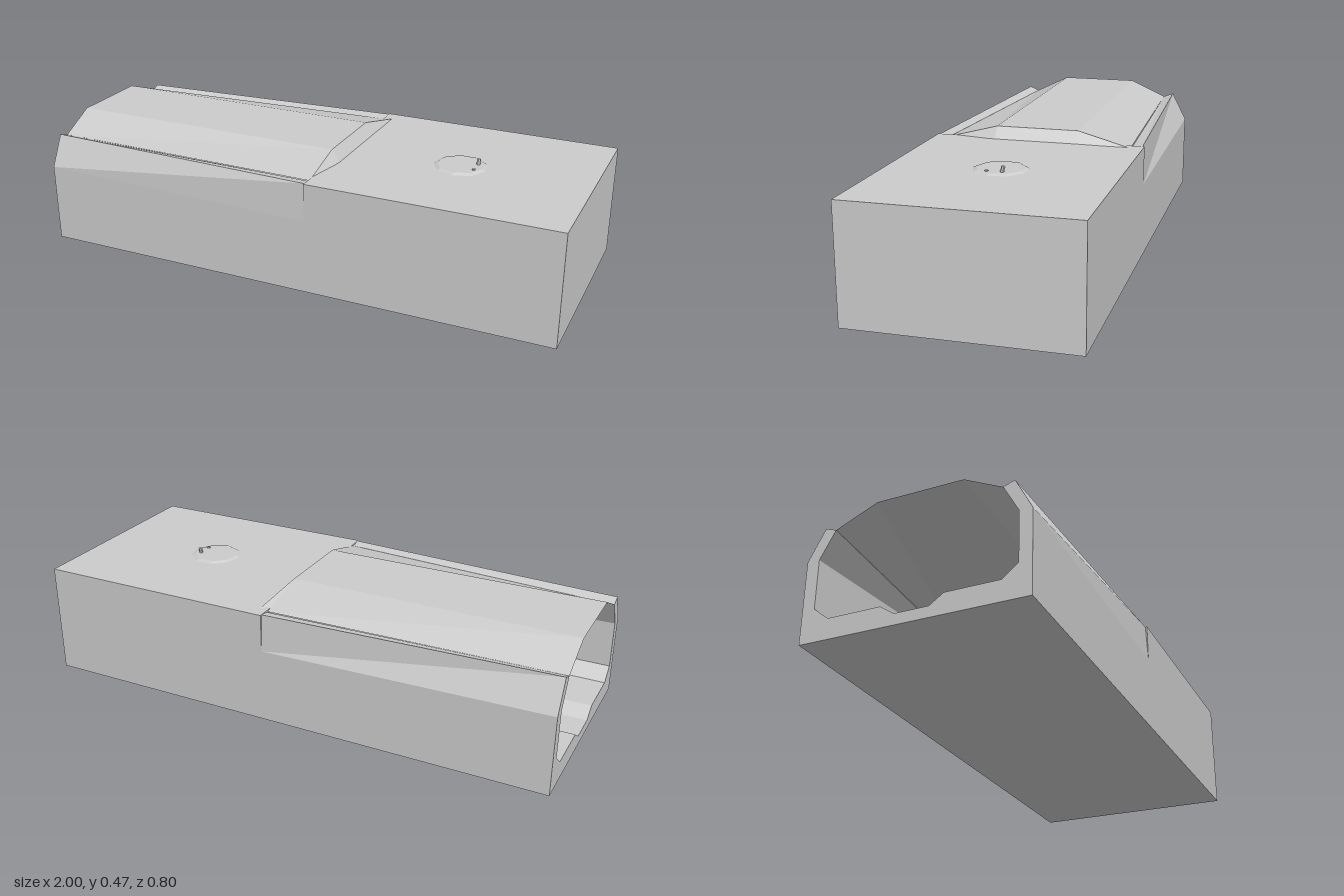
import * as THREE from 'three';

const grey = new THREE.MeshStandardMaterial({ color: 0xcccccc, flatShading: true });
const greyThin = new THREE.MeshStandardMaterial({ color: 0xcccccc, flatShading: true, side: THREE.DoubleSide });

// Skin a row of equal-length cross-sections (lists of [x, y, z]).
function loft(sections) {
  const n = sections[0].length;
  const index = [];
  for (let s = 0; s < sections.length - 1; s++) {
    for (let i = 0; i < n - 1; i++) {
      const a = s * n + i, b = a + n;
      index.push(a, a + 1, b, a + 1, b + 1, b);
    }
  }
  const geo = new THREE.BufferGeometry();
  geo.setAttribute('position', new THREE.Float32BufferAttribute(sections.flat(2), 3));
  geo.setIndex(index);
  const flat = geo.toNonIndexed();
  flat.computeVertexNormals();
  return flat;
}

export function createModel() {
  const group = new THREE.Group();
  const add = (name, geo, mat, x = 0, y = 0, z = 0) => {
    const mesh = new THREE.Mesh(geo, mat);
    mesh.name = name;
    mesh.position.set(x, y, z);
    group.add(mesh);
    return mesh;
  };

  // Solid front block
  add('solidBlock', new THREE.BoxGeometry(0.92, 0.422, 0.8), grey, 0.54, 0.211, 0);

  // Open trough: half profile mirrored, with a shallow channel in the floor
  const half = [[0.4, 0], [0.4, 0.3], [0.34, 0.415], [0.3, 0.4], [0.355, 0.3],
    [0.355, 0.12], [0.3, 0.075], [0.11, 0.075], [0.06, 0.04]];
  const profile = [...half, ...half.map(([u, v]) => [-u, v]).reverse()];
  const shape = new THREE.Shape(profile.map(([u, v]) => new THREE.Vector2(u, v)));
  const trough = new THREE.ExtrudeGeometry(shape, { depth: 1.08, bevelEnabled: false });
  // The leaning walls straighten towards the block
  const p = trough.attributes.position;
  for (let i = 0; i < p.count; i++) {
    if (p.getZ(i) < 0.5 || p.getY(i) < 0.25) continue;
    if (p.getY(i) > 0.35) {
      p.setX(i, p.getX(i) + Math.sign(p.getX(i)) * 0.053);
      p.setY(i, p.getY(i) > 0.41 ? 0.422 : 0.415);
    } else {
      p.setY(i, 0.28);
    }
  }
  trough.rotateY(Math.PI / 2);
  trough.computeVertexNormals();
  add('trough', trough, grey, -1, 0, 0);

  // Faceted roof sheet, closing with a short slope onto the block
  const section = (x, edge, edgeY, ridgeY) =>
    [[-edge, edgeY], [-0.15, ridgeY], [0.163, ridgeY], [edge, edgeY]].map(([z, y]) => [x, y, z]);
  add('roof', loft([
    section(-1, 0.3, 0.4, 0.467),
    section(0.08, 0.35, 0.416, 0.466),
    section(0.112, 0.35, 0.421, 0.423),
  ]), greyThin);

  // Hatch with a bevelled rim and two small pegs
  add('hatch', new THREE.CylinderGeometry(0.086, 0.104, 0.008, 9), grey, 0.52, 0.424, 0.01);
  const peg = add('tallPeg', new THREE.CylinderGeometry(0.007, 0.007, 0.026, 6), grey, 0.578, 0.436, -0.014);
  peg.rotation.x = -0.25;
  add('shortPeg', new THREE.CylinderGeometry(0.007, 0.007, 0.01, 6), grey, 0.578, 0.426, 0.042);

  return group;
}
